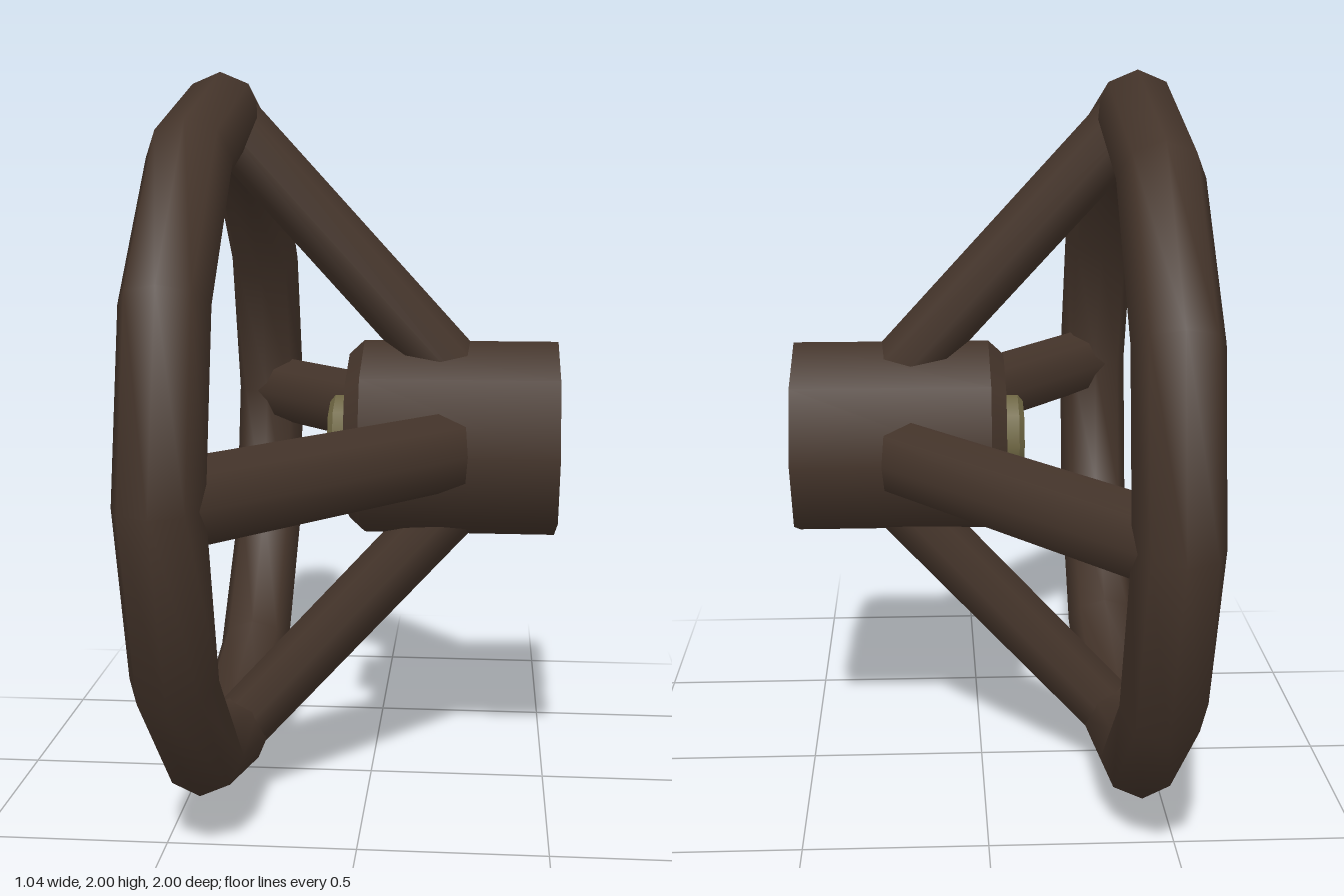
import * as THREE from 'three';

export function createModel() {
  const group = new THREE.Group();
  const brown = new THREE.MeshStandardMaterial({ color: 0x44342a });
  brown.name = 'dark brown';
  const brass = new THREE.MeshStandardMaterial({ color: 0x6e6642 });
  brass.name = 'dull brass';

  const RING_X = -0.41, RING_R = 0.892, TUBE_R = 0.108;

  // everything is centred on the wheel axis, one unit above the ground
  const wheel = new THREE.Group();
  wheel.name = 'wheel';
  wheel.position.y = 1;
  group.add(wheel);

  function add(name, geometry, material, parent = wheel) {
    const mesh = new THREE.Mesh(geometry, material);
    mesh.name = name;
    parent.add(mesh);
    return mesh;
  }

  // solid of revolution along x, from x0 (radius r0) to x1 (radius r1)
  function axial(name, x0, r0, x1, r1, material) {
    const geometry = new THREE.CylinderGeometry(r1, r0, x1 - x0, 8);
    geometry.rotateZ(-Math.PI / 2).translate((x0 + x1) / 2, 0, 0);
    return add(name, geometry, material);
  }

  // twelve-sided rim
  const rim = new THREE.TorusGeometry(RING_R, TUBE_R, 8, 12);
  rim.rotateY(Math.PI / 2).translate(RING_X, 0, 0);
  add('rim', rim, brown);

  // octagonal hub with a chamfered inner edge
  axial('hub', -0.018, 0.274, 0.517, 0.274, brown);
  axial('hubChamfer', -0.06, 0.235, -0.018, 0.274, brown);

  // nut at the inner end of the hub
  axial('nut', -0.1, 0.118, -0.05, 0.118, brass);
  axial('nutBevel', -0.115, 0.1, -0.1, 0.118, brass);

  // four slightly flattened spokes slanting from the rim to the hub
  const start = new THREE.Vector3(RING_X, RING_R, 0);
  const end = new THREE.Vector3(0.3, 0.115, 0);
  const along = end.clone().sub(start);
  for (let i = 0; i < 4; i++) {
    const geometry = new THREE.CylinderGeometry(TUBE_R, TUBE_R, along.length(), 8);
    geometry.scale(0.82, 1, 1);
    geometry.rotateZ(Math.atan2(-along.x, along.y));
    geometry.translate((start.x + end.x) / 2, (start.y + end.y) / 2, 0);
    geometry.rotateX(i * Math.PI / 2);
    add('spoke' + (i + 1), geometry, brown);
  }

  return group;
}
